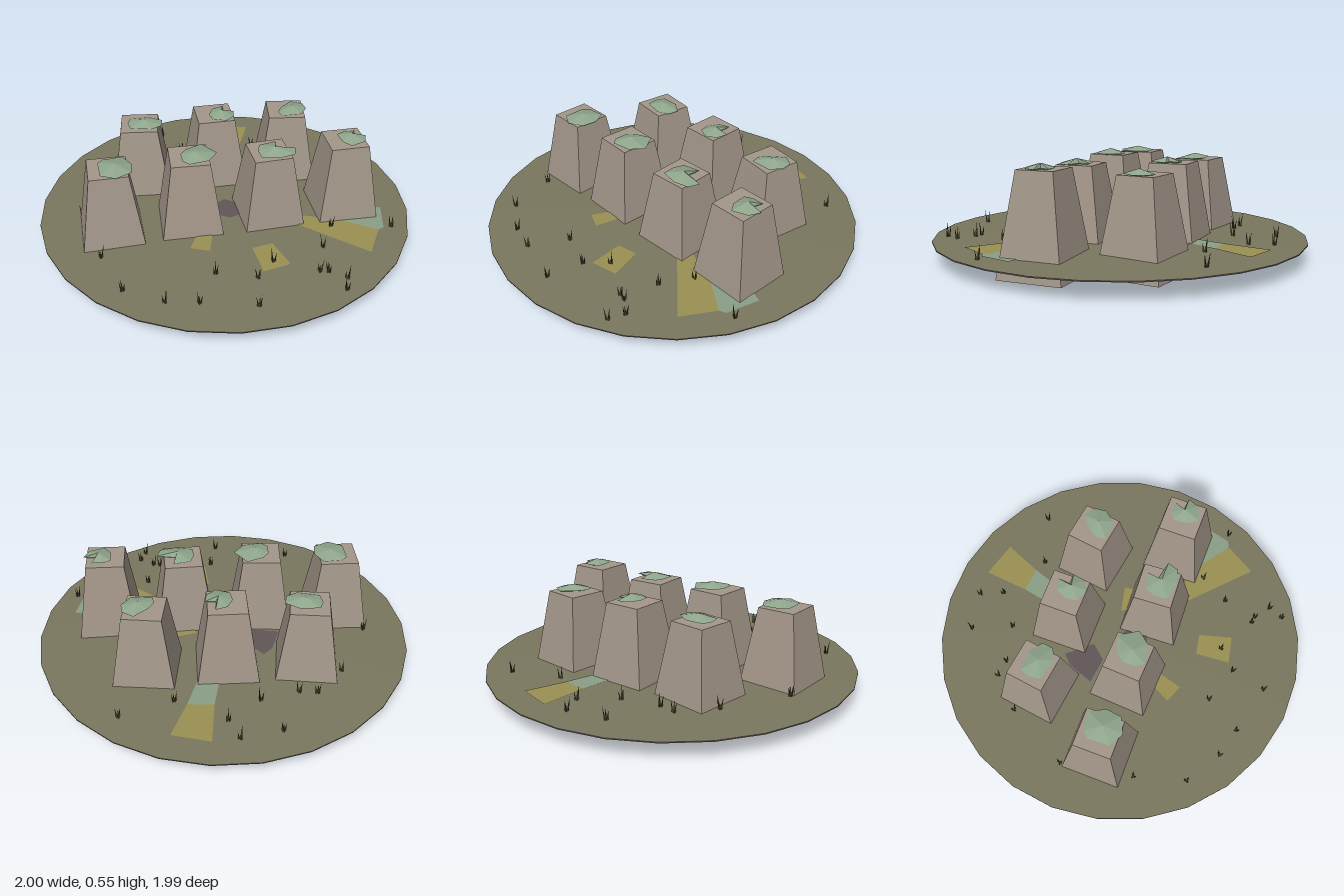
import * as THREE from 'three';

const mat = (name, color, extra = {}) => {
  const m = new THREE.MeshStandardMaterial({ color, ...extra });
  m.name = name;
  return m;
};

// height of the gently domed ground
const groundY = (x, z) => 0.125 - 0.025 * Math.hypot(x, z);

export function createModel() {
  const model = new THREE.Group();
  const stone = mat('stone', 0xa4978a, { flatShading: true });
  const turf = mat('turf', 0x7a775f);
  const soil = mat('soil', 0x615658);
  const moss = mat('moss', 0x8fa68c, { flatShading: true });
  const straw = mat('straw', 0x999052);
  const lichen = mat('lichen', 0x8a9f86);
  const grass = mat('grass', 0x45452c, { flatShading: true });

  const add = (name, geometry, material, parent = model) => {
    const mesh = new THREE.Mesh(geometry, material);
    mesh.name = name;
    parent.add(mesh);
    return mesh;
  };

  // ground: shallow dome over a thin dark base
  const dome = add('groundTop', new THREE.ConeGeometry(1, 0.025, 26, 4, true), turf);
  dome.position.y = 0.1125;
  dome.rotation.y = Math.PI / 2;
  const base = add('groundBase', new THREE.CylinderGeometry(1, 1, 0.006, 26), soil);
  base.position.y = 0.0965;
  base.rotation.y = Math.PI / 2;

  // flat patches lying on the ground, outlines as [x, z]
  const patch = (name, material, outline) => {
    const shape = new THREE.Shape(outline.map(([x, z]) => new THREE.Vector2(x, -z)));
    const g = new THREE.ShapeGeometry(shape).rotateX(-Math.PI / 2);
    const p = g.attributes.position;
    for (let i = 0; i < p.count; i++) p.setY(i, groundY(p.getX(i), p.getZ(i)) + 0.004);
    add(name, g, material);
  };
  patch('strawPatchBack', straw, [[0.105, -0.855], [0.3, -0.8], [0.215, -0.6], [0.08, -0.61]]);
  patch('lichenPatchBack', lichen, [[0.08, -0.61], [0.215, -0.6], [0.16, -0.44], [0.05, -0.46]]);
  patch('strawPatchLeft', straw, [[0.37, 0.2], [0.34, 0.28], [0.65, 0.565], [0.75, 0.395], [0.58, 0.28]]);
  patch('lichenPatchLeft', lichen, [[0.58, 0.28], [0.75, 0.395], [0.785, 0.38], [0.83, 0.205], [0.77, 0.18]]);
  patch('strawPatchFront', straw, [[0.06, 0.43], [0.17, 0.41], [0.22, 0.585], [0.075, 0.615]]);
  patch('strawPatchSmall', straw, [[-0.25, 0.37], [-0.2, 0.27], [-0.12, 0.28], [-0.155, 0.41]]);
  patch('strawPatchMiddle', straw, [[0.15, -0.05], [0.29, -0.08], [0.3, -0.03], [0.16, -0.02]]);
  patch('soilPatchBack', soil, [[-0.3, -0.06], [-0.25, -0.2], [-0.2, -0.25], [-0.09, -0.12], [-0.16, -0.04]]);
  patch('soilPatchFront', soil, [[-0.05, 0.02], [0, -0.01], [0.06, 0.03], [0.06, 0.14], [0, 0.16], [-0.05, 0.13]]);

  // faceted moss clump: a low apex over an outline, closed below
  const mossGeometry = (outline, y) => {
    const n = outline.length;
    const cx = outline.reduce((s, p) => s + p[0], 0) / n;
    const cz = outline.reduce((s, p) => s + p[1], 0) / n;
    const top = [cx, y + 0.03, cz], low = [cx, y - 0.015, cz];
    const v = [];
    outline.forEach(([x, z], i) => {
      const [nx, nz] = outline[(i + 1) % n];
      const a = [x, y + 0.006, z], b = [nx, y + 0.006, nz];
      v.push(...top, ...b, ...a, ...low, ...a, ...b);
    });
    const g = new THREE.BufferGeometry();
    g.setAttribute('position', new THREE.Float32BufferAttribute(v, 3));
    g.computeVertexNormals();
    return g;
  };

  // tapered stone block with its moss cap
  const block = (name, x, z, height, turn, outline) => {
    const group = new THREE.Group();
    group.name = name;
    const g = new THREE.CylinderGeometry(0.1 * Math.SQRT2, 0.174 * Math.SQRT2, height, 4);
    g.rotateY(Math.PI / 4);
    const mesh = add('taperedBlock', g, stone, group);
    mesh.position.set(x, height / 2, z);
    mesh.rotation.y = turn;
    add('mossCap', mossGeometry(outline, height), moss, group);
    model.add(group);
  };
  block('frontBlock1', -0.625, 0.125, 0.495, 0,
    [[-0.67, 0.08], [-0.64, 0.05], [-0.54, 0.04], [-0.5, 0.12], [-0.51, 0.2], [-0.59, 0.24], [-0.665, 0.2]]);
  block('frontBlock2', -0.21, 0.125, 0.517, -0.05,
    [[-0.25, 0.11], [-0.22, 0.07], [-0.13, 0.03], [-0.065, 0.13], [-0.12, 0.2], [-0.22, 0.215], [-0.25, 0.18]]);
  block('frontBlock3', 0.21, 0.13, 0.502, 0.05,
    [[0.15, 0.13], [0.17, 0.075], [0.26, 0.055], [0.25, 0.12], [0.35, 0.14], [0.33, 0.2], [0.25, 0.22], [0.155, 0.2]]);
  block('frontBlock4', 0.62, 0.125, 0.522, 0,
    [[0.59, 0.08], [0.63, 0.06], [0.69, 0.06], [0.67, 0.115], [0.735, 0.12], [0.71, 0.18], [0.63, 0.21], [0.595, 0.16]]);
  block('backBlock1', -0.415, -0.31, 0.488, -0.13,
    [[-0.48, -0.31], [-0.46, -0.36], [-0.36, -0.36], [-0.29, -0.31], [-0.3, -0.25], [-0.36, -0.22], [-0.47, -0.25]]);
  block('backBlock2', 0, -0.305, 0.508, 0,
    [[-0.03, -0.29], [0, -0.35], [0.06, -0.37], [0.055, -0.3], [0.11, -0.3], [0.1, -0.24], [0.05, -0.2], [-0.02, -0.23]]);
  block('backBlock3', 0.41, -0.305, 0.492, -0.14,
    [[0.36, -0.27], [0.39, -0.32], [0.46, -0.38], [0.52, -0.34], [0.525, -0.28], [0.48, -0.22], [0.37, -0.22]]);

  // grass tufts, each with three leaning blades
  const tufts = [
    [-0.03, -0.84], [-0.24, -0.8], [0.02, -0.72], [0.55, -0.66], [-0.15, -0.59], [-0.44, -0.55], [-0.35, -0.54],
    [0.28, -0.57], [-0.59, -0.39], [-0.77, -0.05], [-0.7, 0.34], [-0.62, 0.61], [-0.43, 0.73], [-0.27, 0.77],
    [-0.16, 0.58], [0.04, 0.65], [0.14, 0.55], [0, 0.84], [0.42, 0.48], [0.51, 0.32], [0.83, 0.37],
    [0.35, 0.66], [0.39, 0.67], [0.47, 0.73], [0.44, 0.81],
  ];
  tufts.forEach(([x, z], i) => {
    const tuft = new THREE.Group();
    tuft.name = 'grassTuft';
    for (let k = 0; k < 3; k++) {
      const h = 0.05 + 0.013 * ((i * 2 + k) % 3);
      const g = new THREE.ConeGeometry(0.006, h, 3).translate(0, h / 2, 0);
      g.rotateZ(-0.16).translate(0.006, 0, 0).rotateY(k * 2.1 + i * 1.3);
      add('blade', g, grass, tuft);
    }
    tuft.position.set(x, groundY(x, z) - 0.002, z);
    model.add(tuft);
  });

  return model;
}
